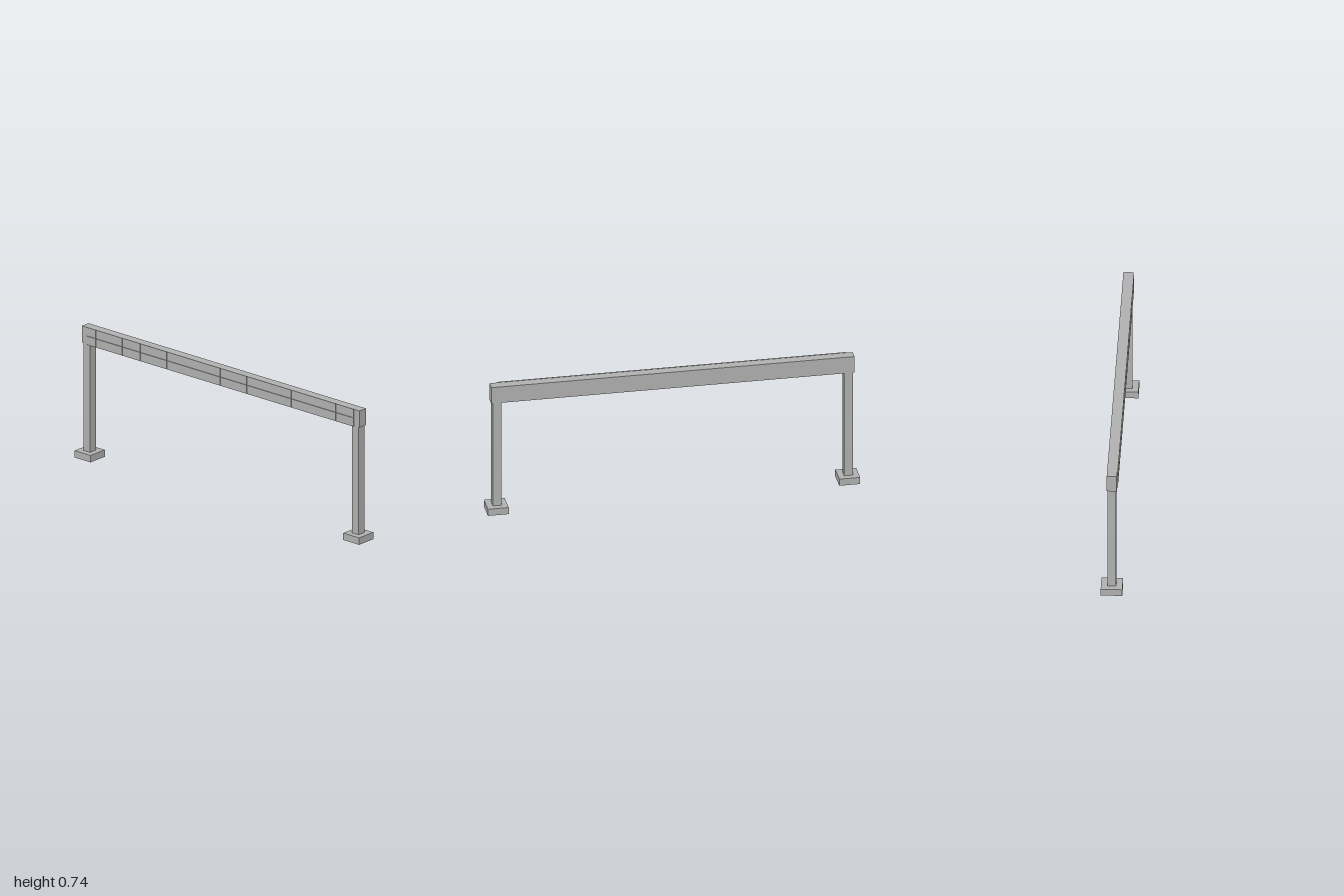
import * as THREE from 'three';

export function createModel() {
  const model = new THREE.Group();
  model.name = 'overheadBeamFrame';
  const concrete = new THREE.MeshStandardMaterial({ name: 'grey', color: 0xb0b0b0 });

  // Box given by its two extreme corners
  function box(name, [x0, y0, z0], [x1, y1, z1], parent = model) {
    const mesh = new THREE.Mesh(new THREE.BoxGeometry(x1 - x0, y1 - y0, z1 - z0), concrete);
    mesh.position.set((x0 + x1) / 2, (y0 + y1) / 2, (z0 + z1) / 2);
    mesh.name = name;
    parent.add(mesh);
  }

  // Footings and square posts
  for (const [side, cx] of [['right', -0.944], ['left', 0.944]]) {
    box(side + 'Footing', [cx - 0.056, 0, -0.057], [cx + 0.056, 0.039, 0.057]);
    box(side + 'Post', [cx - 0.023, 0.039, -0.023], [cx + 0.023, 0.645, 0.023]);
  }

  // Crossbeam
  box('crossbeam', [-0.976, 0.645, -0.026], [0.976, 0.739, 0.027]);

  // Two rows of thin facing panels with narrow joints, widths in units of 1/16
  const panels = new THREE.Group();
  panels.name = 'facingPanels';
  model.add(panels);
  const unit = 0.0625, gap = 0.001;
  const seams = [-15, -14, -11, -9, -8, -6, -3, 0, 2, 3, 5, 8, 10, 11, 13, 15];
  for (let i = 0; i < seams.length - 1; i++) {
    const x0 = seams[i] * unit + gap, x1 = seams[i + 1] * unit - gap;
    box('lowerPanel', [x0, 0.643, 0.027], [x1, 0.692 - gap, 0.031], panels);
    box('upperPanel', [x0, 0.692 + gap, 0.027], [x1, 0.741, 0.031], panels);
  }
  return model;
}
